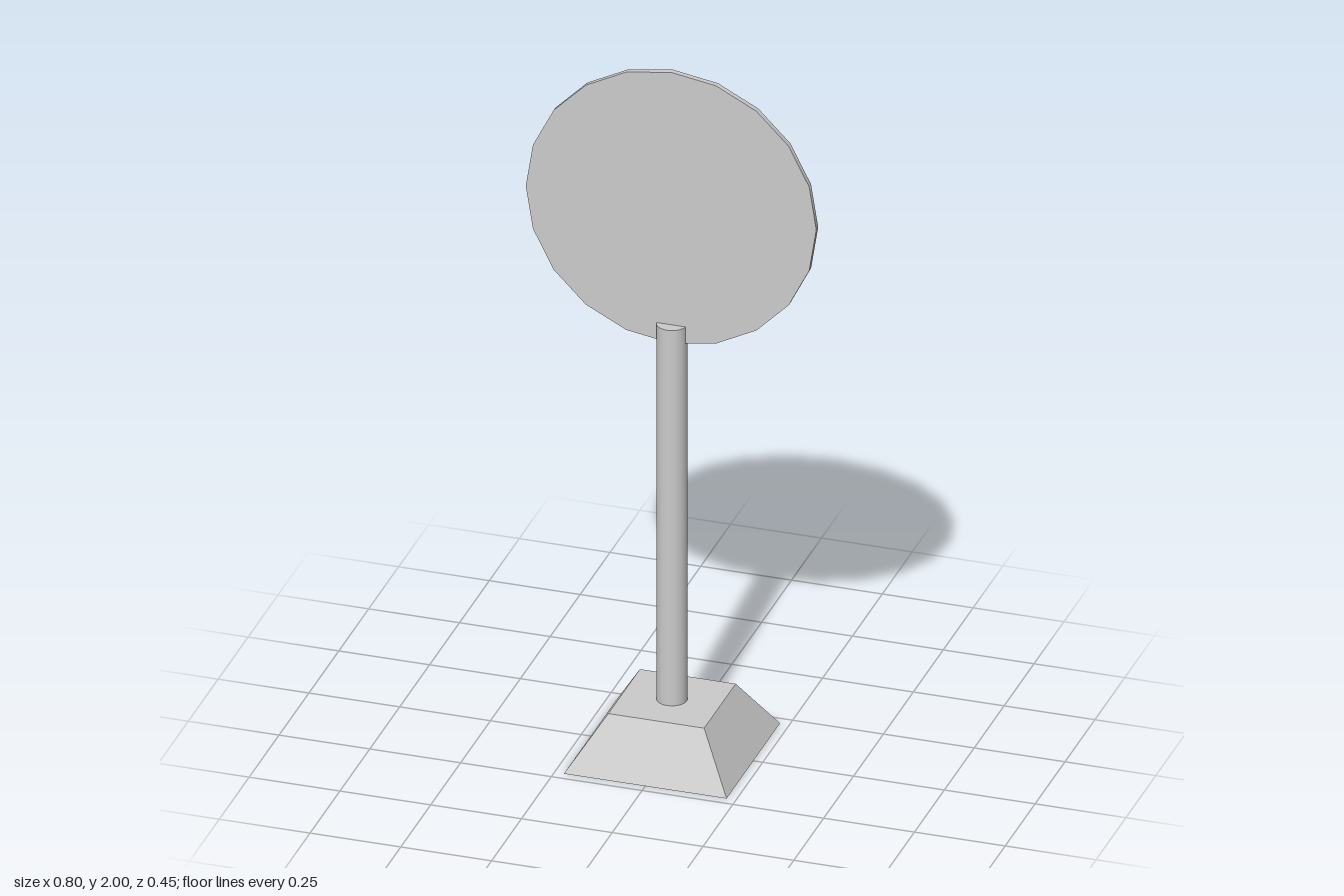
import * as THREE from 'three';

export function createModel() {
  const group = new THREE.Group();
  const smooth = new THREE.MeshStandardMaterial({ color: 0xcccccc });
  const flat = new THREE.MeshStandardMaterial({ color: 0xcccccc, flatShading: true });

  const add = (name, geometry, material, y) => {
    const mesh = new THREE.Mesh(geometry, material);
    mesh.name = name;
    mesh.position.y = y;
    group.add(mesh);
  };

  // Square base tapering upwards: a four-sided cylinder turned to face the axes
  const baseHeight = 0.147;
  const base = new THREE.CylinderGeometry(0.132 * Math.SQRT2, 0.224 * Math.SQRT2, baseHeight, 4);
  base.rotateY(Math.PI / 4);
  add('base', base, flat, baseHeight / 2);

  // Round pole, overlapping the lower edge of the disc
  const poleTop = 1.255;
  const poleHeight = poleTop - baseHeight;
  add('pole', new THREE.CylinderGeometry(0.041, 0.041, poleHeight, 32), smooth, baseHeight + poleHeight / 2);

  // Thin twenty-sided sign disc, facing front and back
  const disc = new THREE.CylinderGeometry(0.4, 0.4, 0.016, 20);
  disc.rotateX(Math.PI / 2);
  add('signDisc', disc, smooth, 1.6);

  return group;
}
